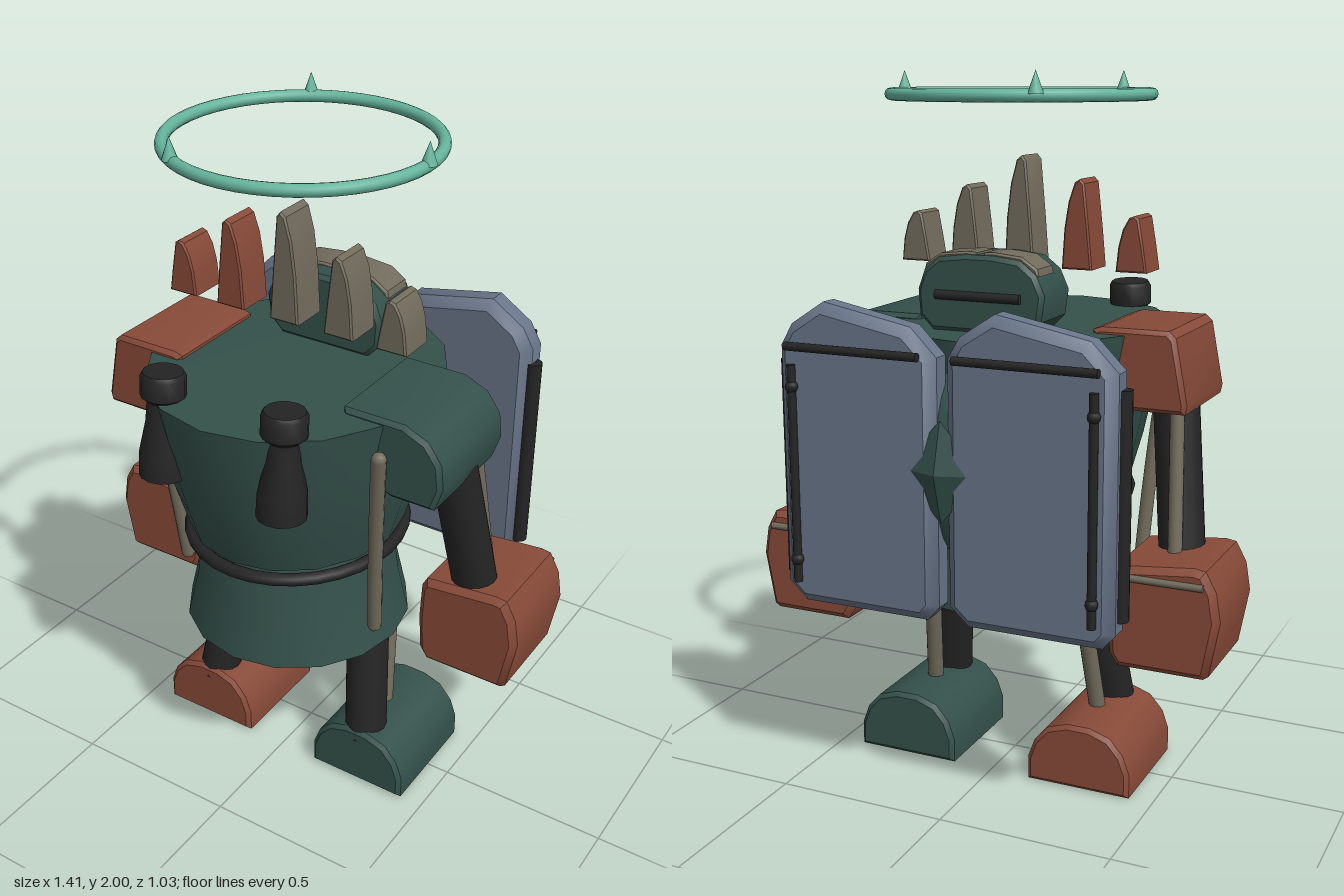
import * as THREE from 'three';
import { toCreasedNormals } from 'three/addons/utils/BufferGeometryUtils.js';

const mat = (name, color) => {
  const m = new THREE.MeshStandardMaterial({ color });
  m.name = name;
  return m;
};
const green = mat('dark green', 0x34504a);
const rust = mat('rust', 0x874a38);
const black = mat('black', 0x242424);
const steel = mat('blue grey', 0x687488);
const bone = mat('bone', 0x716b5c);
const mint = mat('mint', 0x66b49c);

const V = (x, y, z) => new THREE.Vector3(x, y, z);

export function createModel() {
  const model = new THREE.Group();
  model.name = 'robot';

  const add = (name, geometry, material, x = 0, y = 0, z = 0) => {
    const mesh = new THREE.Mesh(geometry, material);
    mesh.name = name;
    mesh.position.set(x, y, z);
    model.add(mesh);
    return mesh;
  };

  // Outline in x,y extruded between two z values, with a small bevel inside the outline
  const slab = (name, points, z0, z1, bevel, material, s = 1) => {
    const shape = new THREE.Shape(points.map(([x, y]) => new THREE.Vector2(x * s, y)));
    const g = new THREE.ExtrudeGeometry(shape, {
      depth: z1 - z0 - 2 * bevel, bevelEnabled: bevel > 0, bevelThickness: bevel,
      bevelSize: bevel, bevelOffset: -bevel, bevelSegments: 1,
    });
    return add(name, toCreasedNormals(g, 0.6), material, 0, 0, z0 + bevel);
  };

  // Straight rod between two points
  const rod = (name, a, b, r, material, rEnd = r) => {
    const g = new THREE.CylinderGeometry(rEnd, r, a.distanceTo(b), 16);
    const mesh = add(name, g, material);
    mesh.position.copy(a).add(b).multiplyScalar(0.5);
    mesh.quaternion.setFromUnitVectors(V(0, 1, 0), b.clone().sub(a).normalize());
    return mesh;
  };

  const lathe = (name, profile, segments, material, x, y, z) => {
    const g = new THREE.LatheGeometry(profile.map(([r, h]) => new THREE.Vector2(r, h)), segments);
    return add(name, toCreasedNormals(g, 0.7), material, x, y, z);
  };

  // Body
  lathe('chest', [[0, 0.84], [0.335, 0.84], [0.375, 0.97], [0.41, 1.12], [0.445, 1.31], [0, 1.315]],
    16, green, 0, 0, 0.07).scale.x = 0.91;
  lathe('waist', [[0, 0.51], [0.34, 0.51], [0.305, 0.66], [0.28, 0.85], [0, 0.85]],
    16, green, 0, 0, 0.07).scale.x = 0.97;
  const belt = add('belt', new THREE.TorusGeometry(0.33, 0.019, 10, 32), black, 0, 0.81, 0.07);
  belt.rotation.x = Math.PI / 2;
  belt.scale.x = 0.92;

  // Hub joining the body to the two back plates, with its pointed boss
  add('hub', new THREE.SphereGeometry(1, 20, 14), green, 0, 0.98, -0.36).scale.set(0.225, 0.245, 0.115);
  const boss = add('boss', new THREE.ConeGeometry(1, 0.04, 4).toNonIndexed(), green, 0, 0.98, -0.492);
  boss.geometry.computeVertexNormals();
  boss.rotation.x = -Math.PI / 2;
  boss.scale.set(0.12, 1, 0.14);

  // Back plates, repeated side by side
  const plate = [[0.05, 0.56], [0.43, 0.56], [0.485, 0.61], [0.485, 1.28], [0.45, 1.34],
    [0.35, 1.405], [0.09, 1.355], [0.015, 1.28], [0.015, 0.6]];
  for (const shift of [0, -0.502]) {
    slab('backPlate', plate.map(([x, y]) => [x + shift, y]), -0.485, -0.378, 0.028, steel);
  }
  for (const s of [-1, 1]) {
    rod('plateEdgeRod', V(s * 0.485, 0.63, -0.42), V(s * 0.485, 1.235, -0.42), 0.024, black);
    rod('plateBackRod', V(s * 0.435, 0.625, -0.493), V(s * 0.435, 1.235, -0.493), 0.012, black);
    rod('plateTopRod', V(s * 0.05, 1.285, -0.497), V(s * 0.448, 1.285, -0.497), 0.012, black);
    for (const y of [0.69, 1.175]) {
      add('rodKnob', new THREE.SphereGeometry(0.018, 10, 8), black, s * 0.435, y, -0.493);
    }
  }

  // Head with its slit and two top panels
  slab('head', [[-0.14, 1.31], [0.14, 1.31], [0.18, 1.35], [0.185, 1.42], [0.165, 1.475], [0.12, 1.51],
    [0.04, 1.52], [-0.04, 1.52], [-0.12, 1.51], [-0.165, 1.475], [-0.19, 1.42], [-0.18, 1.35]],
  -0.243, -0.055, 0.012, green);
  rod('headSlit', V(-0.125, 1.41, -0.246), V(0.125, 1.41, -0.246), 0.013, black);
  for (const s of [-1, 1]) {
    slab('headPanel', [[0.01, 1.49], [0.17, 1.47], [0.165, 1.49], [0.12, 1.52], [0.04, 1.528], [0.01, 1.526]],
      -0.228, -0.12, 0.006, bone, s);
  }

  // Crest of five claws
  const claws = [[-0.335, 0.155, rust], [-0.175, 0.25, rust], [0, 0.31, bone], [0.17, 0.225, bone], [0.33, 0.145, bone]];
  for (const [x, h, material] of claws) {
    const outline = [[-0.045, 0], [0.045, 0], [0.038, 0.45], [0.026, 0.75], [0.008, 0.96], [-0.008, 1], [-0.02, 0.95], [-0.034, 0.45]];
    slab('crestClaw', outline.map(([px, py]) => [x + px, 1.46 + py * h]), 0.022, 0.138, 0.005, material);
  }

  // Floating ring with three points
  add('ring', new THREE.TorusGeometry(0.36, 0.017, 12, 48), mint, 0, 1.936, 0.04).rotation.x = Math.PI / 2;
  for (let i = 0; i < 3; i++) {
    const a = i * Math.PI * 2 / 3;
    add('ringPoint', new THREE.ConeGeometry(0.022, 0.06, 10), mint,
      0.365 * Math.cos(a), 1.97, 0.038 + 0.365 * Math.sin(a));
  }

  // Shoulders differ from side to side
  slab('leftShoulder', [[0.25, 1.15], [0.4, 1.1], [0.525, 1.1], [0.548, 1.17], [0.54, 1.24],
    [0.5, 1.295], [0.43, 1.325], [0.25, 1.325]], -0.108, 0.24, 0.012, green);
  slab('rightShoulder', [[-0.275, 1.15], [-0.275, 1.32], [-0.3, 1.328], [-0.49, 1.328], [-0.51, 1.31],
    [-0.545, 1.13], [-0.54, 1.105], [-0.39, 1.105]], -0.108, 0.24, 0.012, rust);

  const fist = [[0.42, 0.435], [0.66, 0.435], [0.675, 0.445], [0.703, 0.6], [0.69, 0.68], [0.66, 0.735],
    [0.63, 0.74], [0.41, 0.718], [0.395, 0.69], [0.39, 0.58], [0.397, 0.47]];
  const foot = [[0.12, 0], [0.43, 0], [0.43, 0.07], [0.41, 0.125], [0.37, 0.17], [0.31, 0.19],
    [0.24, 0.19], [0.18, 0.17], [0.14, 0.125], [0.12, 0.07]];

  for (const s of [-1, 1]) {
    // Arms
    rod('arm', V(s * 0.47, 1.15, 0.035), V(s * 0.53, 0.68, -0.05), 0.065, black);
    rod('armStrut', V(s * 0.5, 1.15, -0.04), V(s * 0.53, 0.7, -0.12), 0.02, bone);
    slab('fist', fist, -0.275, 0.043, 0.018, rust, s);
    rod('fistBar', V(s * 0.43, 0.695, -0.278), V(s * 0.66, 0.695, -0.278), 0.01, bone);

    // Legs and feet
    rod('leg', V(s * 0.275, 0.14, 0.12), V(s * 0.23, 0.53, 0.045), 0.063, black);
    rod('legStrut', V(s * 0.27, 0.15, 0), V(s * 0.24, 0.52, -0.07), 0.024, bone);
    slab('foot', foot, -0.185, 0.18, 0.012, s > 0 ? green : rust, s);

    // Side straps
    const strap = new THREE.QuadraticBezierCurve3(V(s * 0.375, 1.22, 0.26), V(s * 0.345, 0.95, 0.215), V(s * 0.33, 0.62, 0.18));
    add('sideStrap', new THREE.TubeGeometry(strap, 12, 0.021, 10), bone);
    for (const t of [0, 1]) add('strapEnd', new THREE.SphereGeometry(0.021, 10, 8), bone).position.copy(strap.getPoint(t));

    // Upright chest pipes
    lathe('chestPipe', [[0, -0.16], [0.068, -0.16], [0.066, -0.09], [0.048, 0], [0.044, 0.06],
      [0.062, 0.075], [0.062, 0.13], [0.055, 0.142], [0, 0.142]], 14, black, s * 0.192, 1.24, 0.425).rotation.x = -0.07;
  }

  return model;
}
